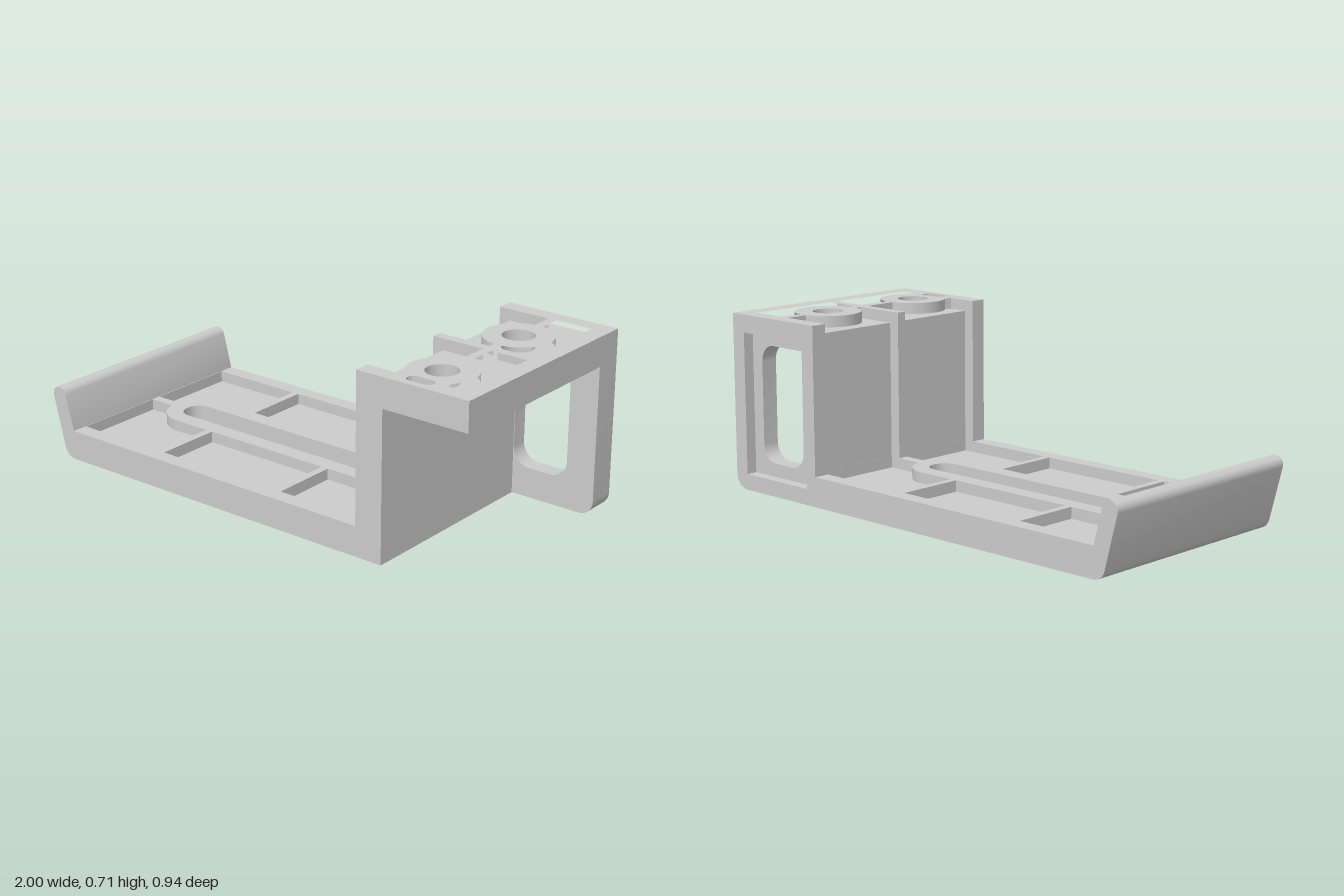
import * as THREE from 'three';
import { toCreasedNormals } from 'three/addons/utils/BufferGeometryUtils.js';

const W = 0.47;      // half depth of the bracket
const RIM = 0.405;   // inner edge of the long side rims
const RIB = 0.02;    // half width of the centre rib
const SKIN = 0.075;  // thickness of the floor below the ribs

const mat = new THREE.MeshStandardMaterial({ color: 0xcccccc });

const arc = (cx, cy, r, a0, a1, n = 14) => Array.from({ length: n + 1 }, (_, i) => {
  const a = a0 + (a1 - a0) * i / n;
  return [cx + r * Math.cos(a), cy + r * Math.sin(a)];
});
const rect = (x0, y0, x1, y1) => [[x0, y0], [x1, y0], [x1, y1], [x0, y1]];
const roundRect = (x0, y0, x1, y1, r) => [
  ...arc(x1 - r, y1 - r, r, 0, Math.PI / 2, 8),
  ...arc(x0 + r, y1 - r, r, Math.PI / 2, Math.PI, 8),
  ...arc(x0 + r, y0 + r, r, Math.PI, Math.PI * 1.5, 8),
  ...arc(x1 - r, y0 + r, r, Math.PI * 1.5, Math.PI * 2, 8),
];
const toVec = (pts) => pts.map(([x, y]) => new THREE.Vector2(x, y));

function extrude(outline, holes, depth) {
  const shape = new THREE.Shape(toVec(outline));
  shape.holes = holes.map((h) => new THREE.Path(toVec(h)));
  return new THREE.ExtrudeGeometry(shape, { depth, bevelEnabled: false });
}

export function createModel() {
  const group = new THREE.Group();
  const add = (name, geo) => {
    const mesh = new THREE.Mesh(toCreasedNormals(geo, 0.6), mat);
    mesh.name = name;
    group.add(mesh);
  };
  // plan drawn in x, z and raised from y0 to y1
  const slab = (name, outline, holes, y0, y1) =>
    add(name, extrude(outline, holes, y1 - y0).rotateX(Math.PI / 2).translate(0, y1, 0));
  // elevation drawn in x, y and run from z0 to z1
  const section = (name, outline, holes, z0, z1) =>
    add(name, extrude(outline, holes, z1 - z0).translate(0, 0, z0));

  // Base: floor with a long slot, then a ribbed layer with six pockets
  const base = rect(-0.895, -W, 0.57, W);
  const slot = roundRect(-0.715, -0.06, 0.345, 0.06, 0.055);
  const pockets = [];
  for (const s of [1, -1]) {
    const a = 0.15;
    const left = [[-0.892, RIM], [-0.495, RIM], [-0.495, 0.13],
      ...arc(-0.655, 0, 0.13, Math.PI / 2, Math.PI - a), [-0.8, RIB], [-0.892, RIB]];
    const right = [[0.125, RIM], [0.569, RIM], [0.569, RIB], [0.425, RIB],
      ...arc(0.285, 0, 0.13, a, Math.PI / 2), [0.125, 0.13]];
    const middle = rect(-0.465, 0.13, 0.095, RIM);
    for (const p of [left, middle, right]) pockets.push(p.map(([x, z]) => [x, z * s]));
  }
  slab('baseFloor', base, [slot], 0, SKIN);
  slab('baseRibs', base, [slot, ...pockets], SKIN, 0.12);

  // Upturned lip with a rounded tip
  section('hookLip', [
    [-0.895, 0], [-0.895, 0.12], ...arc(-0.966, 0.256, 0.034, 0.25, Math.PI + 0.2, 12),
    ...arc(-0.895, 0.052, 0.052, Math.PI + 0.2, Math.PI * 1.5, 8),
  ], [], -W, W);

  // Upright wall and the three ribs on its outer face
  section('wall', rect(0.57, 0, 0.64, 0.667), [], -0.425, W);
  for (const [z0, z1] of [[-W, -RIM], [-RIB, RIB], [RIM, W]])
    section('wallRib', rect(0.525, 0, 0.572, 0.667), [], z0, z1);

  // Top: drilled floor, then a ribbed layer with bosses around the holes
  const CX = 0.76, R = 0.134, rib = 0.0175, a0 = 1.7;
  const bossZ = [-0.18, 0.29];
  const holes = bossZ.map((z) => arc(CX, z, 0.062, 0, Math.PI * 2, 32).slice(0, -1));
  // pocket beside a boss; s = -1 lies toward the wall, +1 toward the free end
  const backPocket = (s, end) => [
    [end, -RIM], [CX + s * rib, -RIM],
    ...arc(CX, bossZ[0], R, -a0, a0 - Math.PI * 2).map(([x, z]) => [CX - s * (x - CX), z]),
    [CX + s * rib, -RIB], [end, -RIB],
  ];
  const frontPocket = (s, end) => [
    [end, RIB], [CX + s * rib, RIB],
    ...arc(CX, bossZ[1], R, -a0, -3.87).map(([x, z]) => [CX - s * (x - CX), z]),
    [CX + s * 0.108, RIM], [end, RIM],
  ];
  const comb = [[1, W], [1, -W], [0.525, -W],
    ...backPocket(-1, 0.525), ...frontPocket(-1, 0.525), [0.525, W]];
  const keyhole = roundRect(0.705, 0.39, 0.815, 0.44, 0.024);
  slab('topFloor', rect(0.57, -0.425, 1, W), holes, 0.595, 0.667);
  slab('topRibs', comb, [...holes, backPocket(1, 0.93), frontPocket(1, 0.93), keyhole], 0.667, 0.712);

  // Rear side frame: a windowed panel inside a raised rim
  const corner = arc(0.94, 0.06, 0.06, -Math.PI / 2, 0, 8);
  const r = 0.07;
  const windowOpening = [
    [0.64, 0.595], ...arc(0.88 - r, 0.595 - r, r, Math.PI / 2, 0, 8),
    ...arc(0.88 - r, 0.12 + r, r, 0, -Math.PI / 2, 8),
    ...arc(0.642 + r, 0.12 + r, r, -Math.PI / 2, -Math.PI, 8),
  ].map(([x, y]) => [Math.max(x, 0.642), Math.min(y, 0.594)]);
  section('framePanel', [[0.64, 0], ...corner, [1, 0.596], [0.64, 0.596]], [windowOpening], -0.425, -0.355);
  section('frameRim', [[0.57, 0], ...corner, [1, 0.667], [0.57, 0.667]],
    [rect(0.575, 0.065, 0.935, 0.64)], -W, -0.425);

  return group;
}
